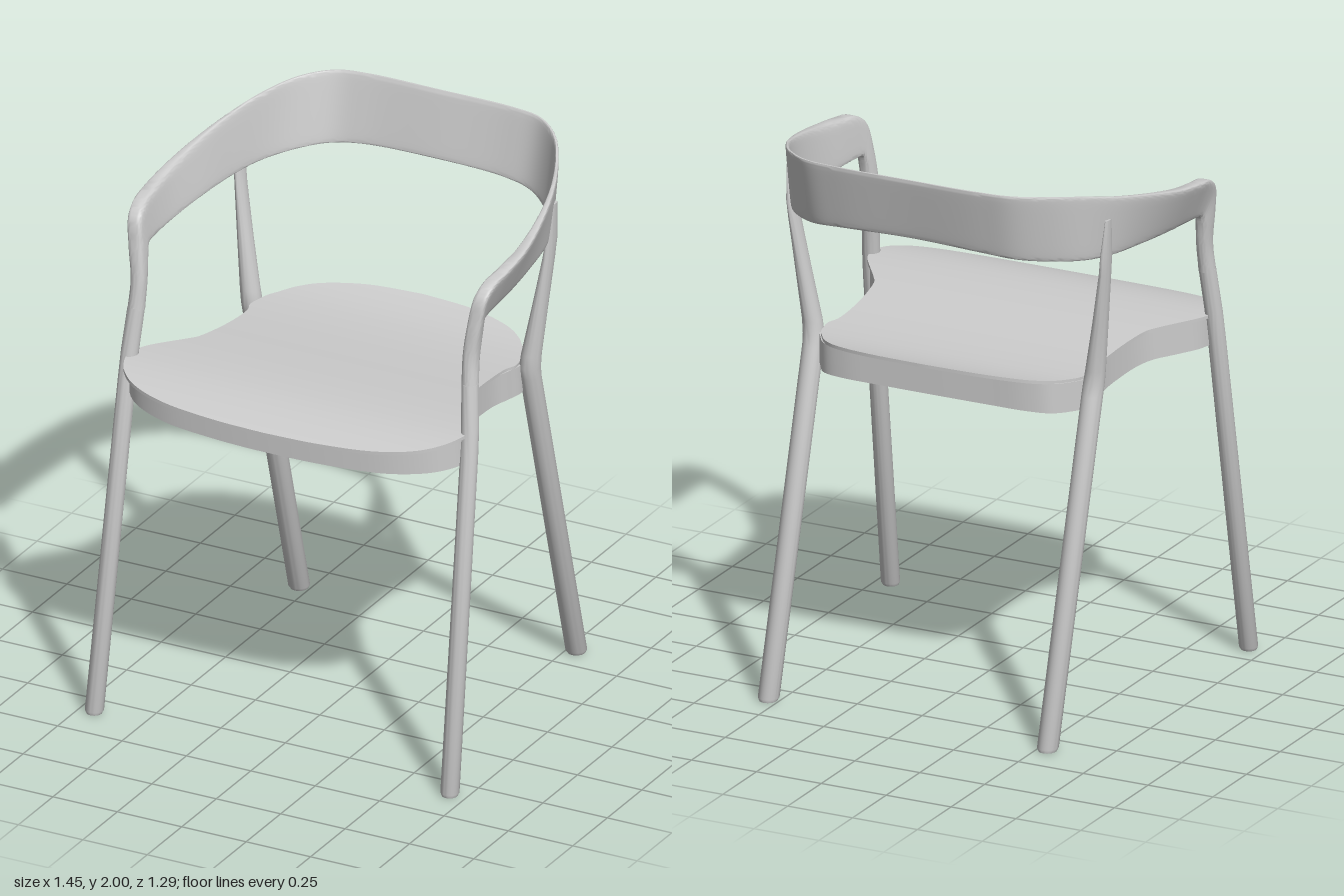
import * as THREE from 'three';
import { toCreasedNormals } from 'three/addons/utils/BufferGeometryUtils.js';

const V = (x, y, z) => new THREE.Vector3(x, y, z);

// Skin a list of equal-sized rings; ends are capped unless the loft closes on itself
function loft(rings, closed = false, crease = 0.7) {
  const n = rings[0].length, count = rings.length;
  const pos = [], idx = [];
  rings.forEach(r => r.forEach(p => pos.push(p.x, p.y, p.z)));
  for (let i = 0; i < (closed ? count : count - 1); i++) {
    const a = i * n, b = ((i + 1) % count) * n;
    for (let j = 0; j < n; j++) {
      const k = (j + 1) % n;
      idx.push(a + j, b + j, b + k, a + j, b + k, a + k);
    }
  }
  if (!closed) {
    const e = (count - 1) * n;
    for (let j = 1; j < n - 1; j++) idx.push(0, j, j + 1, e, e + j + 1, e + j);
  }
  // Signed volume decides whether the faces must be turned outward
  let volume = 0;
  const at = i => V(pos[3 * i], pos[3 * i + 1], pos[3 * i + 2]);
  for (let i = 0; i < idx.length; i += 3) {
    volume += at(idx[i]).dot(at(idx[i + 1]).cross(at(idx[i + 2])));
  }
  if (volume < 0) idx.reverse();
  const g = new THREE.BufferGeometry();
  g.setAttribute('position', new THREE.Float32BufferAttribute(pos, 3));
  g.setIndex(idx);
  return toCreasedNormals(g, crease);
}

// Height of the gently waved seat
const seatY = z => 1.258 - z ** 3 / 3 + 0.055 * z * z + 0.09 * z
  - 0.25 * Math.max(0, z - 0.4) ** 2 + 0.2 * Math.max(0, -z - 0.3) ** 2;

const spline2 = pts => new THREE.SplineCurve(pts.map(p => new THREE.Vector2(...p)));

function seatGeometry() {
  // Half outline, x and z, from back to front
  const outline = spline2([[0.004, -0.497], [0.2, -0.483], [0.35, -0.442], [0.43, -0.39], [0.475, -0.33],
    [0.5, -0.285], [0.515, -0.21], [0.5, -0.16], [0.497, -0.08], [0.503, 0.03], [0.52, 0.14], [0.545, 0.19],
    [0.63, 0.31], [0.655, 0.37], [0.658, 0.43], [0.62, 0.51], [0.54, 0.575], [0.4, 0.62], [0.2, 0.642],
    [0.004, 0.648]]);
  const t = 0.006;
  return loft(outline.getPoints(110).map(({ x, y: z }) => {
    const y = seatY(z);
    return [V(-x, y + t, z), V(x, y + t, z), V(x, y - t, z), V(-x, y - t, z)];
  }));
}

function apronGeometry() {
  // Half centre line of the band under the seat, x and z, from front to back
  const half = [[0, 0.592], [0.25, 0.583], [0.45, 0.555], [0.58, 0.495], [0.635, 0.42], [0.63, 0.35],
    [0.58, 0.265], [0.525, 0.19], [0.5, 0.12], [0.485, 0], [0.484, -0.1], [0.5, -0.18], [0.51, -0.25],
    [0.475, -0.32], [0.43, -0.38], [0.35, -0.405], [0.2, -0.41], [0, -0.412]];
  const other = half.slice(1, -1).reverse().map(([x, z]) => [-x, z]);
  const curve = new THREE.CatmullRomCurve3([...half, ...other].map(([x, z]) => V(x, 0, z)), true);
  const rings = [], steps = 160, w = 0.009;
  for (let i = 0; i < steps; i++) {
    const p = curve.getPoint(i / steps), d = curve.getTangent(i / steps);
    const top = seatY(p.z) - 0.004, low = top - 0.107;
    const nx = d.z * w, nz = -d.x * w;
    rings.push([V(p.x + nx, top, p.z + nz), V(p.x - nx, top, p.z - nz),
      V(p.x - nx, low, p.z - nz), V(p.x + nx, low, p.z + nz)]);
  }
  return loft(rings, true);
}

function backrestGeometry() {
  // Half stations: outer top xyz, inner bottom xyz, top and bottom thickness, outward angle
  const half = [
    [0, 2, -0.635, 0, 1.768, -0.565, 0.012, 0.016, 90],
    [0.28, 2, -0.632, 0.27, 1.76, -0.563, 0.012, 0.016, 88],
    [0.4, 1.997, -0.61, 0.385, 1.748, -0.54, 0.013, 0.016, 70],
    [0.5, 1.985, -0.53, 0.48, 1.733, -0.468, 0.014, 0.016, 48],
    [0.575, 1.96, -0.41, 0.553, 1.718, -0.37, 0.015, 0.018, 33],
    [0.635, 1.925, -0.27, 0.594, 1.707, -0.25, 0.02, 0.02, 22],
    [0.685, 1.885, -0.09, 0.62, 1.697, -0.08, 0.032, 0.02, 12],
    [0.712, 1.852, 0.07, 0.634, 1.687, 0.08, 0.046, 0.02, 4],
    [0.716, 1.832, 0.2, 0.637, 1.68, 0.2, 0.055, 0.022, 0],
    [0.71, 1.815, 0.29, 0.635, 1.675, 0.27, 0.057, 0.028, 0],
    [0.702, 1.775, 0.345, 0.632, 1.668, 0.297, 0.058, 0.035, 0],
    [0.688, 1.68, 0.37, 0.626, 1.635, 0.31, 0.058, 0.045, 0],
    [0.672, 1.56, 0.387, 0.619, 1.545, 0.324, 0.056, 0.053, 0],
    [0.678, 1.45, 0.402, 0.618, 1.45, 0.338, 0.06, 0.06, 0]];
  const rows = half.map(([ax, ay, az, bx, by, bz, tt, tb, deg]) => {
    const a = THREE.MathUtils.degToRad(deg), n = V(Math.cos(a), 0, -Math.sin(a));
    const top = V(ax, ay, az), low = V(bx, by, bz);
    return [top, top.clone().addScaledVector(n, -tt), low, low.clone().addScaledVector(n, tb)];
  });
  const mirrored = rows.slice(1).reverse().map(r => r.map(p => V(-p.x, p.y, p.z)));
  const all = [...mirrored, ...rows];
  const curves = [0, 1, 2, 3].map(c => new THREE.CatmullRomCurve3(all.map(r => r[c])));
  const rings = [], steps = 208, sides = 32;
  for (let i = 0; i <= steps; i++) {
    const [to, ti, bi, bo] = curves.map(c => c.getPoint(i / steps));
    // The section turns from a flat band into a round leg at each end
    const end = Math.abs(i / steps - 0.5) * 2;
    const power = 2 / THREE.MathUtils.lerp(6, 2, THREE.MathUtils.smoothstep(end, 0.65, 0.98));
    const ring = [];
    for (let j = 0; j < sides; j++) {
      const a = (j + 0.5) / sides * Math.PI * 2;
      const f = s => 0.5 + 0.5 * Math.sign(s) * Math.abs(s) ** power;
      const u = f(Math.cos(a)), v = f(Math.sin(a));
      ring.push(bi.clone().lerp(bo, u).lerp(ti.clone().lerp(to, u), v));
    }
    rings.push(ring);
  }
  return loft(rings);
}

// Leg from level oval sections: x, y, z, radius in x, radius in z
function legGeometry(sections, side) {
  const sides = 28;
  return loft(sections.map(([x, y, z, rx, rz]) => Array.from({ length: sides }, (_, j) => {
    const a = j / sides * Math.PI * 2;
    return V(side * (x + rx * Math.cos(a)), y, z + rz * Math.sin(a));
  })));
}

const frontLeg = [[0.69, 0, 0.597, 0.027, 0.027], [0.69, 0.012, 0.595, 0.033, 0.033],
  [0.664, 1.2, 0.408, 0.031, 0.032], [0.66, 1.3, 0.393, 0.031, 0.032], [0.648, 1.46, 0.369, 0.03, 0.032]];
const rearLeg = [[0.538, 0, -0.606, 0.031, 0.033], [0.538, 0.012, -0.603, 0.037, 0.039],
  [0.538, 1.19, -0.273, 0.037, 0.039], [0.54, 1.23, -0.265, 0.037, 0.039], [0.546, 1.28, -0.264, 0.035, 0.037],
  [0.572, 1.46, -0.278, 0.026, 0.035], [0.598, 1.65, -0.294, 0.017, 0.034],
  [0.605, 1.72, -0.299, 0.014, 0.036], [0.614, 1.85, -0.3, 0.006, 0.022]];

export function createModel() {
  const chair = new THREE.Group();
  chair.name = 'armchair';
  const grey = new THREE.MeshStandardMaterial({ color: 0xcccccc });
  grey.name = 'light grey';
  const add = (name, geometry) => {
    const mesh = new THREE.Mesh(geometry, grey);
    mesh.name = name;
    chair.add(mesh);
  };
  add('seat', seatGeometry());
  add('seatApron', apronGeometry());
  add('backrestAndArms', backrestGeometry());
  for (const [side, label] of [[1, 'left'], [-1, 'right']]) {
    add(label + 'FrontLeg', legGeometry(frontLeg, side));
    add(label + 'RearLeg', legGeometry(rearLeg, side));
  }
  return chair;
}
